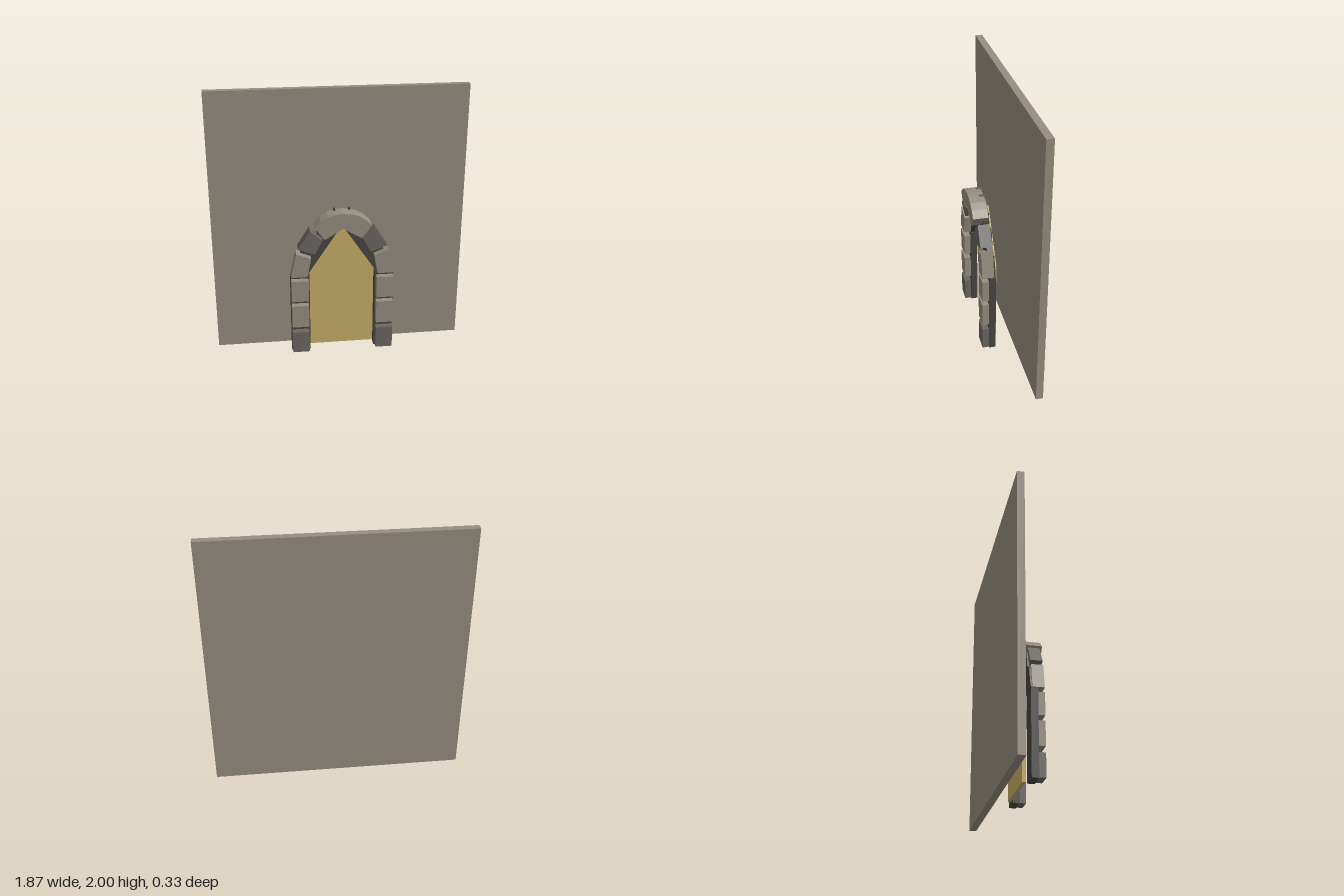
import * as THREE from 'three';

const lightStone = new THREE.MeshStandardMaterial({ color: 0x968d80 });
lightStone.name = 'light stone';
const darkStone = new THREE.MeshStandardMaterial({ color: 0x6b6864 });
darkStone.name = 'dark stone';
const mortar = new THREE.MeshStandardMaterial({ color: 0x494641 });
mortar.name = 'mortar';
const gold = new THREE.MeshStandardMaterial({ color: 0xc9ae69 });
gold.name = 'golden door';

// Flat outline extruded from z0 to z1
function slab(name, points, z0, z1, material) {
  const shape = new THREE.Shape(points.map(([x, y]) => new THREE.Vector2(x, y)));
  const geometry = new THREE.ExtrudeGeometry(shape, { depth: z1 - z0, bevelEnabled: false });
  geometry.translate(0, 0, z0);
  const mesh = new THREE.Mesh(geometry, material);
  mesh.name = name;
  return mesh;
}

// Box given by its extents
function block(name, [x0, x1], [y0, y1], [z0, z1], material) {
  const mesh = new THREE.Mesh(new THREE.BoxGeometry(x1 - x0, y1 - y0, z1 - z0), material);
  mesh.position.set((x0 + x1) / 2, (y0 + y1) / 2, (z0 + z1) / 2);
  mesh.name = name;
  return mesh;
}

// Mirrored outline for the right side
const sided = (points, s) => points.map(([x, y]) => [x * s, y]);

export function createModel() {
  const model = new THREE.Group();
  model.name = 'archedDoorway';

  // Back wall
  model.add(block('wall', [-0.935, 0.935], [0, 2], [-0.165, -0.113], lightStone));

  // Pointed door panel
  model.add(slab('door', [[-0.247, 0.053], [0.247, 0.053], [0.247, 0.68], [0, 1.05], [-0.247, 0.68]],
    0.005, 0.03, gold));

  for (const s of [1, -1]) {
    const side = s > 0 ? 'left' : 'right';
    const span = (a, b) => (s > 0 ? [a, b] : [-b, -a]);

    // Pillar: mortar backing with three stones
    model.add(block(side + 'PillarBacking', span(0.24, 0.38), [0.045, 0.67], [0.04, 0.09], mortar));
    [[0.05, 0.22, darkStone], [0.263, 0.44, lightStone], [0.477, 0.643, lightStone]].forEach(([y0, y1, m], i) =>
      model.add(block(side + 'PillarStone' + (i + 1), span(0.25, 0.375), [y0, y1], [0.08, 0.138], m)));

    // Arch backing, with a small peak poking out above the keystone
    model.add(slab(side + 'ArchBacking', sided([
      [0.247, 0.678], [0.372, 0.678], [0.33, 0.83], [0.275, 0.87], [0.245, 0.99], [0.18, 0.99],
      [0.16, 1.08], [0.07, 1.14], [0.053, 1.176], [0.04, 1.15], [0, 1.15], [0, 1.05],
    ], s), 0.04, 0.085, mortar));

    // Arch stones
    model.add(slab(side + 'LowerArchStone', sided(
      [[0.257, 0.677], [0.377, 0.677], [0.337, 0.862], [0.23, 0.82]], s), 0.052, 0.138, lightStone));
    model.add(slab(side + 'UpperArchStone', sided(
      [[0.204, 0.853], [0.323, 0.9], [0.236, 1.037], [0.146, 0.958]], s), 0.052, 0.138, darkStone));
  }

  // Keystone
  model.add(slab('keystone', [
    [0, 1.055], [0.133, 0.975], [0.205, 1.07], [0.16, 1.115], [0.11, 1.146], [0.055, 1.163], [0, 1.168],
    [-0.055, 1.163], [-0.11, 1.146], [-0.16, 1.115], [-0.205, 1.07], [-0.133, 0.975],
  ], 0.052, 0.163, lightStone));

  return model;
}
